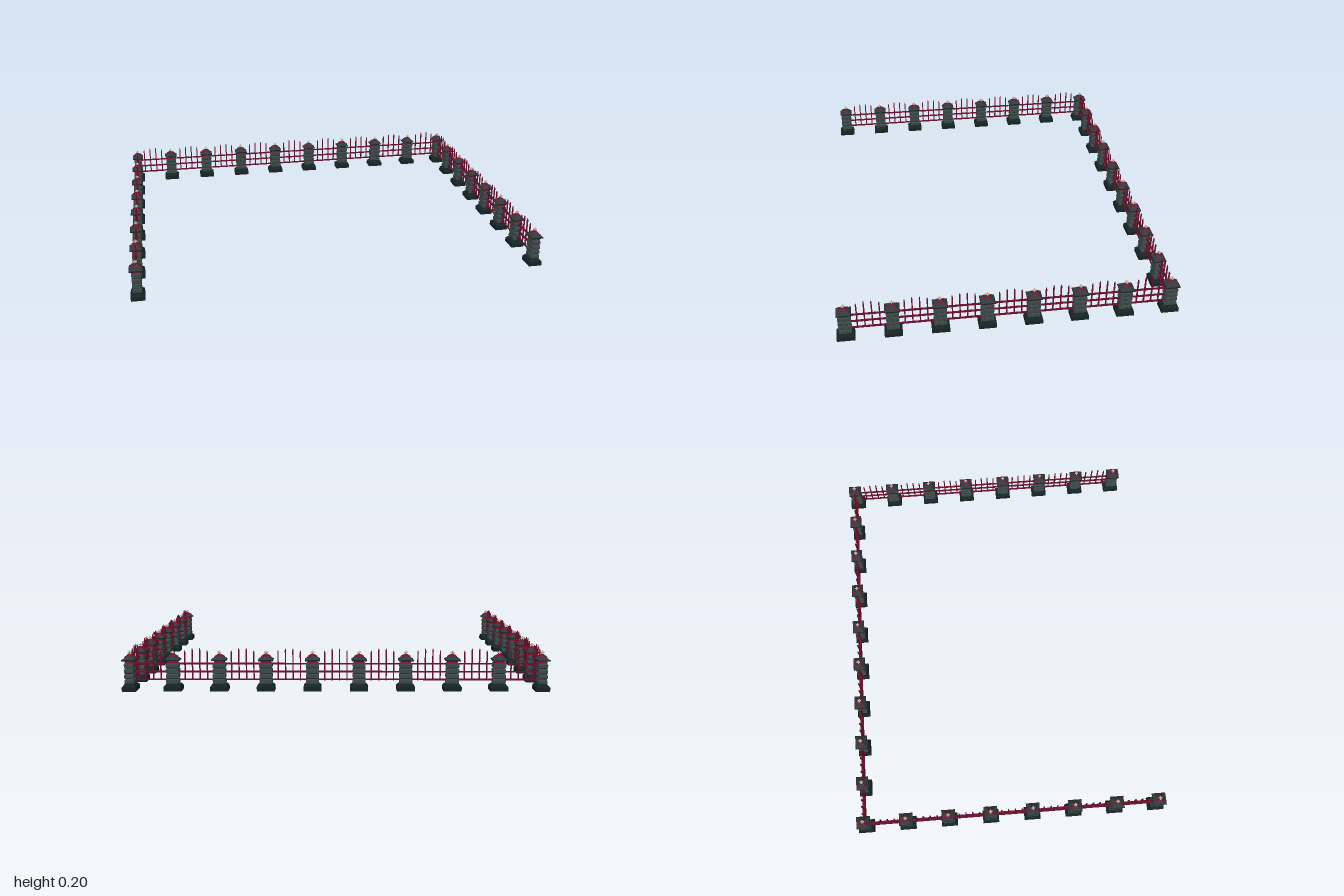
import * as THREE from 'three';

const flat = (name, color) => {
  const m = new THREE.MeshStandardMaterial({ color, flatShading: true });
  m.name = name;
  return m;
};

// Four-sided tapered block from y0 to y1; w runs along the fence, d across it.
function block(w0, d0, w1, d1, y0, y1) {
  const g = new THREE.BoxGeometry(1, y1 - y0, 1);
  const p = g.attributes.position;
  for (let i = 0; i < p.count; i++) {
    const top = p.getY(i) > 0;
    p.setX(i, p.getX(i) * (top ? w1 : w0));
    p.setZ(i, p.getZ(i) * (top ? d1 : d0));
  }
  g.translate(0, (y0 + y1) / 2, 0);
  g.computeVertexNormals();
  return g;
}

export function createModel() {
  const mats = {
    base: flat('dark base stone', 0x142423),
    stone: flat('grey pillar stone', 0x3c4848),
    roof: flat('slate roof', 0x2f3b3a),
    eave: flat('dark eave', 0x192423),
    red: flat('crimson trim', 0x8c1036),
    iron: flat('maroon iron', 0x6c0e2c),
    pale: flat('pale finial', 0xb4bca0),
  };
  const parts = [];
  const part = (name, geometry, material) => parts.push({ name, geometry, material });

  // Pillar: plinth, four chamfered stones, lantern, roof and finial
  part('plinth', block(0.084, 0.065, 0.084, 0.065, 0, 0.021), mats.base);
  part('plinthSlope', block(0.084, 0.065, 0.064, 0.046, 0.021, 0.032), mats.base);
  for (let i = 0; i < 4; i++) {
    const y = 0.032 + i * 0.025;
    part('stoneLower', block(0.05, 0.036, 0.06, 0.043, y, y + 0.005), mats.stone);
    part('stoneMiddle', block(0.06, 0.043, 0.06, 0.043, y + 0.005, y + 0.02), mats.stone);
    part('stoneUpper', block(0.06, 0.043, 0.05, 0.036, y + 0.02, y + 0.025), mats.stone);
  }
  part('lantern', block(0.046, 0.038, 0.046, 0.038, 0.131, 0.146), mats.red);
  part('eave', block(0.07, 0.062, 0.07, 0.062, 0.144, 0.149), mats.eave);
  part('roof', block(0.066, 0.058, 0.012, 0.012, 0.149, 0.169), mats.roof);

  // Crimson ribs down the four roof hips
  for (const sx of [-1, 1]) for (const sz of [-1, 1]) {
    const a = new THREE.Vector3(sx * 0.021, 0.158, sz * 0.019);
    const b = new THREE.Vector3(sx * 0.003, 0.172, sz * 0.003);
    const rib = new THREE.TubeGeometry(new THREE.LineCurve3(a, b), 1, 0.0036, 5);
    part('roofRib', rib, mats.red);
  }
  part('finialStem', block(0.008, 0.008, 0.005, 0.005, 0.167, 0.178), mats.red);
  part('finialCross', block(0.018, 0.006, 0.018, 0.006, 0.178, 0.184), mats.pale);
  part('finialCrossSide', block(0.006, 0.018, 0.006, 0.018, 0.178, 0.184), mats.pale);
  part('finialPoint', block(0.006, 0.006, 0.003, 0.003, 0.174, 0.19), mats.pale);

  function pillar(x) {
    const g = new THREE.Group();
    g.name = 'pillar';
    for (const { name, geometry, material } of parts) {
      const m = new THREE.Mesh(geometry, material);
      m.name = name;
      g.add(m);
    }
    g.position.x = x;
    return g;
  }

  const pitch = 0.2186;
  const pickets = [0.19, 0.2].map((h) => [
    block(0.006, 0.006, 0.006, 0.006, 0.048, h - 0.01),
    block(0.006, 0.006, 0.002, 0.002, h - 0.01, h),
  ]);

  // Straight fence run along x with pillars, rails and four pickets per bay
  function run(name, bays, railLength) {
    const g = new THREE.Group();
    g.name = name;
    for (let i = 0; i < 8; i++) g.add(pillar((i - 3.5) * pitch));
    for (const y of [0.052, 0.089, 0.127]) {
      const rail = new THREE.Mesh(new THREE.BoxGeometry(railLength, 0.007, 0.007), mats.iron);
      rail.name = 'rail';
      rail.position.y = y;
      g.add(rail);
    }
    for (let b = 0; b < bays; b++) for (let k = 0; k < 4; k++) {
      const tall = k === 1 || k === 2 ? 1 : 0;
      const x = (b - (bays - 1) / 2) * pitch + (k - 1.5) * 0.035;
      pickets[tall].forEach((geometry, i) => {
        const m = new THREE.Mesh(geometry, mats.iron);
        m.name = i ? 'picketTip' : 'picket';
        m.position.x = x;
        g.add(m);
      });
    }
    return g;
  }

  const model = new THREE.Group();
  model.name = 'fence';
  const back = run('backFence', 9, 1.934);
  back.position.z = -0.765;
  model.add(back);
  for (const s of [-1, 1]) {
    const side = run(s > 0 ? 'leftFence' : 'rightFence', 7, 1.53);
    side.rotation.y = s * Math.PI / 2;
    side.position.x = s * 0.967;
    model.add(side);
  }
  return model;
}
